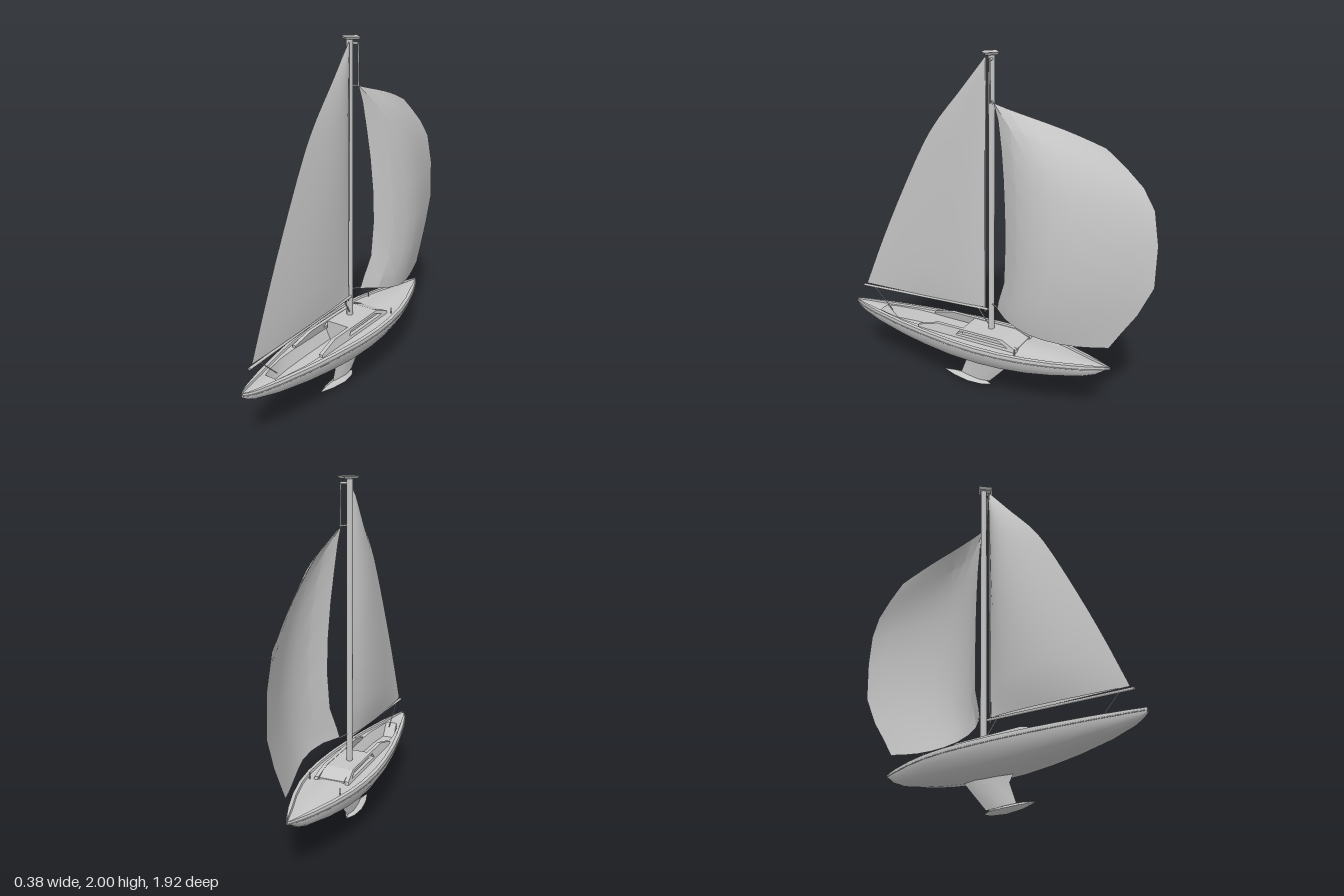
import * as THREE from 'three';
import { toCreasedNormals } from 'three/addons/utils/BufferGeometryUtils.js';

const paint = new THREE.MeshStandardMaterial({ color: 0xc6c6c6, side: THREE.DoubleSide });
paint.name = 'pale grey';

function add(group, name, geometry) {
  const mesh = new THREE.Mesh(geometry, paint);
  mesh.name = name;
  group.add(mesh);
  return mesh;
}

// Skin a surface through rows of [x, y, z] points
function loft(rows, crease) {
  const n = rows[0].length, index = [];
  for (let r = 0; r < rows.length - 1; r++) {
    for (let c = 0; c < n - 1; c++) {
      const a = r * n + c, b = a + n;
      index.push(a, b, a + 1, a + 1, b, b + 1);
    }
  }
  const g = new THREE.BufferGeometry();
  g.setAttribute('position', new THREE.Float32BufferAttribute(rows.flat(2), 3));
  g.setIndex(index);
  g.computeVertexNormals();
  return crease ? toCreasedNormals(g, crease) : g;
}

// Straight round bar between two points
function rod(group, name, a, b, r, sides = 8) {
  const p = new THREE.Vector3(...a), q = new THREE.Vector3(...b);
  const mesh = add(group, name, new THREE.CylinderGeometry(r, r, p.distanceTo(q), sides));
  mesh.position.copy(p).lerp(q, 0.5);
  mesh.quaternion.setFromUnitVectors(new THREE.Vector3(0, 1, 0), q.sub(p).normalize());
}

// Extrude a [z, y] side profile to a thickness centred on x
function sidePlate(points, width, hole) {
  const toShape = (list, Type) => new Type(list.map(([z, y]) => new THREE.Vector2(-z, y)));
  const shape = toShape(points, THREE.Shape);
  if (hole) shape.holes.push(toShape(hole, THREE.Path));
  const g = new THREE.ExtrudeGeometry(shape, { depth: width, bevelEnabled: false });
  return g.translate(0, 0, -width / 2).rotateY(Math.PI / 2);
}

// Hull, side decks and cockpit well in one skin
function hullRow([z, w, sheer, keel], cockpit) {
  const rim = Math.min(0.028, w * 0.4), inner = w - rim;
  const deck = sheer + 0.003, well = Math.min(0.085, inner * 0.8);
  const floor = cockpit ? 0.285 : deck + w * 0.06, h = sheer - keel;
  const half = [
    [0, floor], [well * 0.65, floor], [well, deck], [inner, deck], [inner + rim * 0.15, sheer + 0.014],
    [w - 0.003, sheer + 0.012], [w, sheer], [w * 0.985, sheer - h * 0.13], [w * 0.945, sheer - h * 0.36],
    [w * 0.76, keel + h * 0.27], [w * 0.42, keel + h * 0.05], [0, keel],
  ];
  const mirror = half.slice(0, -1).reverse().map(([x, y]) => [-x, y]);
  return [...half, ...mirror].map(([x, y]) => [x, y, z]);
}

function buildHull(group) {
  // z, half beam, sheer height, keel height
  const stations = [
    [0.96, 0.006, 0.359, 0.346], [0.93, 0.025, 0.357, 0.325], [0.88, 0.045, 0.355, 0.303],
    [0.75, 0.082, 0.352, 0.268], [0.68, 0.098, 0.351, 0.256], [0.55, 0.126, 0.349, 0.234],
    [0.38, 0.155, 0.347, 0.214], [0.2, 0.177, 0.345, 0.2], [0.14, 0.182, 0.344, 0.199],
    [0, 0.188, 0.343, 0.198], [-0.15, 0.183, 0.343, 0.204], [-0.3, 0.163, 0.343, 0.216],
    [-0.45, 0.126, 0.342, 0.235], [-0.6, 0.075, 0.341, 0.264], [-0.67, 0.045, 0.341, 0.29],
    [-0.72, 0.02, 0.341, 0.325], [-0.75, 0.002, 0.341, 0.339],
  ];
  const rows = [];
  for (const s of stations) {
    const z = s[0];
    // The well slopes up to the deck aft and stops square at the cabin
    rows.push(hullRow(s, z < 0.75 && z > 0.13));
    if (z === 0.14) rows.push(hullRow(s, false));
  }
  add(group, 'hull', loft(rows, 0.6));

  // Rubbing strake along each side
  for (const side of [-1, 1]) {
    const path = stations.map(([z, w, s, k]) => new THREE.Vector3(side * w * 0.987, s - (s - k) * 0.09, z));
    add(group, 'rubbingStrake', new THREE.TubeGeometry(new THREE.CatmullRomCurve3(path), 48, 0.003, 5));
  }
}

function buildCabin(group) {
  // Inner cabin block with sloping front
  add(group, 'cabin', sidePlate([[0.14, 0.33], [0.14, 0.397], [-0.13, 0.397], [-0.22, 0.36], [-0.23, 0.33]], 0.15));
  // Side walls run aft as cockpit coamings, with a long window opening
  const wall = [[0.43, 0.335], [0.43, 0.365], [0.3, 0.4], [-0.13, 0.4], [-0.22, 0.362], [-0.23, 0.335]];
  const window = [[0.17, 0.362], [0.15, 0.388], [-0.11, 0.388], [-0.17, 0.362]];
  for (const side of [-1, 1]) {
    const g = sidePlate(wall, 0.022, window);
    const p = g.attributes.position;
    for (let i = 0; i < p.count; i++) {
      // Lean the wall inward with height
      p.setX(i, p.getX(i) + side * (0.098 - (p.getY(i) - 0.335) * 0.25));
    }
    g.computeVertexNormals();
    add(group, 'cabinSide', g);
  }
  rod(group, 'deckFitting', [-0.11, 0.335, -0.35], [-0.11, 0.385, -0.35], 0.004);
  rod(group, 'deckFitting', [0.13, 0.335, -0.23], [0.13, 0.385, -0.23], 0.004);
}

function buildKeel(group) {
  // Fin sections: height, leading z, trailing z, half thickness
  const fin = [[0.215, -0.16, 0.19, 0.026], [0.16, -0.11, 0.155, 0.023], [0.04, 0, 0.2, 0.013]];
  add(group, 'keelFin', loft(fin.map(([y, front, back, t]) => {
    const at = (u) => front + (back - front) * u;
    return [[0, y, front], [t, y, at(0.3)], [t * 0.7, y, at(0.7)], [0, y, back],
      [-t * 0.7, y, at(0.7)], [-t, y, at(0.3)], [0, y, front]];
  }), 0.9));
  // Flattened ballast bulb: z, half width, centre height, half height
  const bulb = [[-0.005, 0.004, 0.022, 0.005], [0.04, 0.03, 0.024, 0.016], [0.13, 0.04, 0.026, 0.023],
    [0.23, 0.027, 0.032, 0.018], [0.31, 0.002, 0.037, 0.003]];
  add(group, 'keelBulb', loft(bulb.map(([z, w, y, h]) =>
    [[w, y, z], [w * 0.5, y + h * 0.7, z], [0, y + h, z], [-w * 0.5, y + h * 0.7, z], [-w, y, z],
      [-w * 0.5, y - h * 0.75, z], [0, y - h, z], [w * 0.5, y - h * 0.75, z], [w, y, z]]), 0.7));
}

function buildRig(group) {
  rod(group, 'mast', [-0.016, 0.34, -0.004], [-0.016, 1.985, -0.004], 0.018, 12);
  rod(group, 'sailTrack', [-0.002, 0.5, 0.03], [-0.002, 1.97, 0.024], 0.004);
  // Diamond-shaped cap with a tapered underside
  const cap = add(group, 'mastCap', toCreasedNormals(new THREE.CylinderGeometry(0.066, 0.05, 0.015, 4), 0.5));
  cap.position.set(-0.006, 1.9925, 0);
  cap.scale.z = 0.86;
  rod(group, 'halyardCrane', [-0.016, 1.963, -0.01], [0.03, 1.963, -0.016], 0.007);
  rod(group, 'halyard', [0.03, 1.967, -0.016], [0.03, 1.74, -0.02], 0.005);
  rod(group, 'halyardHook', [-0.016, 1.745, -0.004], [0.03, 1.74, -0.035], 0.005);
  rod(group, 'boom', [0, 0.522, 0.01], [0, 0.48, 0.9], 0.008);
  rod(group, 'boomVang', [0, 0.515, 0.075], [-0.01, 0.415, 0.005], 0.004);
  rod(group, 'mainSheet', [0, 0.48, 0.82], [0, 0.352, 0.69], 0.003);
  rod(group, 'headsailTack', [-0.01, 0.56, -0.01], [0.018, 0.552, -0.07], 0.004);
}

function buildMainSail(group) {
  // Curved aft edge, foot to head
  const leech = new THREE.CatmullRomCurve3([[0.88, 0.495], [0.75, 0.8], [0.6, 1.12], [0.42, 1.47],
    [0.33, 1.605], [0.18, 1.785], [0.03, 1.97]].map(([z, y]) => new THREE.Vector3(0, y, z)));
  for (const belly of [-0.068, 0.026]) {
    const rows = [];
    for (let i = 0; i <= 16; i++) {
      const v = i / 16, end = leech.getPoint(v), row = [];
      const luff = new THREE.Vector3(0, 0.53 + 1.44 * v, 0.034 - 0.008 * v);
      const fullness = Math.max(0, Math.sin(Math.PI * (0.03 + 0.97 * Math.pow(v, 0.75))));
      const depth = belly * Math.pow(fullness, 0.45);
      for (let j = 0; j <= 10; j++) {
        const u = j / 10, p = luff.clone().lerp(end, u);
        row.push([depth * Math.sin(Math.PI * Math.pow(u, 0.75)), p.y, p.z]);
      }
      rows.push(row);
    }
    add(group, 'mainSail', loft(rows));
  }
}

function buildHeadsail(group) {
  // Rows from foot to head: luff x, y, z, leech x, y, z, belly x
  const rows = [
    [0.02, 0.55, -0.06, 0.012, 0.475, -0.74, 0.125], [0.03, 0.61, -0.075, 0.006, 0.575, -0.8, 0.142],
    [0.052, 0.74, -0.12, -0.006, 0.7, -0.88, 0.152], [0.062, 0.95, -0.13, -0.015, 0.87, -0.955, 0.155],
    [0.058, 1.15, -0.125, -0.022, 1.1, -0.955, 0.145], [0.048, 1.34, -0.11, -0.035, 1.28, -0.92, 0.125],
    [0.036, 1.5, -0.09, -0.05, 1.385, -0.85, 0.1], [0.026, 1.65, -0.065, -0.055, 1.475, -0.75, 0.06],
    [0.02, 1.74, -0.035, -0.055, 1.56, -0.64, 0],
  ];
  // Belly shape across the sail: quick rise, then an even fall to the leech
  const shape = [0, 0.62, 0.92, 1, 0.88, 0.68, 0.46, 0.22, 0];
  add(group, 'headsail', loft(rows.map(([x0, y0, z0, x1, y1, z1, belly], r) => shape.map((s, j) => {
    const u = j / (shape.length - 1);
    const peak = belly - (x0 + (x1 - x0) * 0.4);
    const drop = r === 0 ? -0.035 : r === 1 ? -0.02 : r === 8 ? 0.012 : 0;
    const sag = drop * Math.sin(Math.PI * Math.pow(u, 1.4));
    return [x0 + (x1 - x0) * u + peak * s, y0 + (y1 - y0) * u + sag, z0 + (z1 - z0) * u];
  })), 0.3));
}

export function createModel() {
  const group = new THREE.Group();
  group.name = 'sailboat';
  buildHull(group);
  buildCabin(group);
  buildKeel(group);
  buildRig(group);
  buildMainSail(group);
  buildHeadsail(group);
  return group;
}
